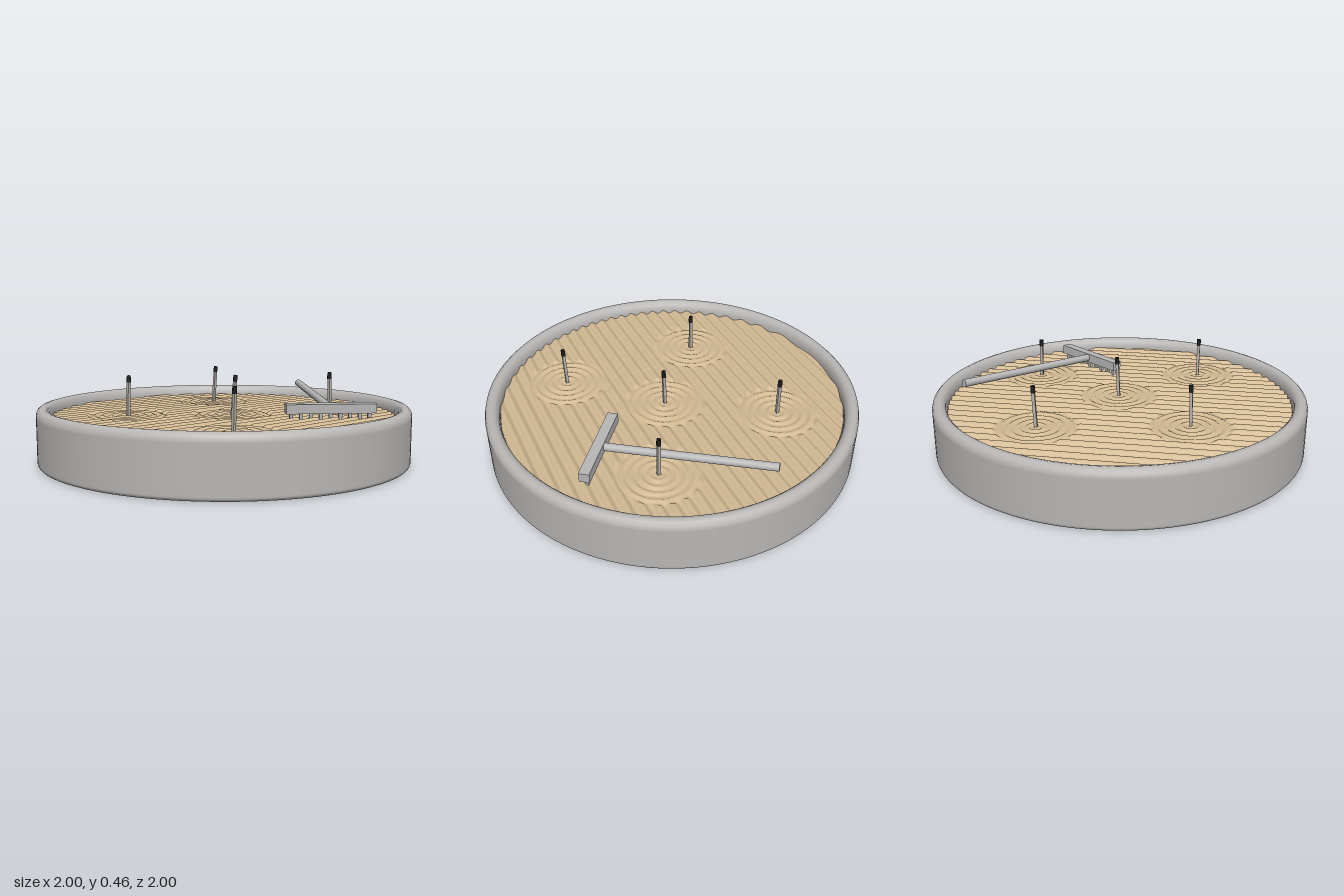
import * as THREE from 'three';

const material = (name, color) => {
  const m = new THREE.MeshStandardMaterial({ color });
  m.name = name;
  return m;
};

const SAND_LEVEL = 0.24;
const SAND_RADIUS = 0.928;
const RING_RADIUS = 0.215;

// Ring centres [x, z] and the lean of each stick [about x, about z]
const spots = [
  { x: -0.415, z: -0.313, lean: [0.02, -0.02] },
  { x: 0.345, z: -0.458, lean: [0.03, -0.05] },
  { x: 0.016, z: 0.05, lean: [0.05, -0.05] },
  { x: -0.383, z: 0.47, lean: [0.04, 0.01] },
  { x: 0.525, z: 0.313, lean: [-0.02, 0.02] },
];

// Raked height: straight ridges along x, ripples around every stick
function sandHeight(x, z) {
  let h = 0.009 * Math.cos((z * 2 * Math.PI) / 0.067);
  for (const s of spots) {
    const d = Math.hypot(x - s.x, z - s.z);
    const blend = 1 - THREE.MathUtils.smoothstep(d, RING_RADIUS - 0.015, RING_RADIUS + 0.005);
    h = THREE.MathUtils.lerp(h, 0.005 * Math.cos((d * 2 * Math.PI) / 0.045), blend);
  }
  return SAND_LEVEL + h;
}

export function createModel() {
  const model = new THREE.Group();
  model.name = 'sandGarden';

  const stone = material('stone grey', 0xb9b7b5);
  const sandMat = material('sand', 0xd2b993);
  const rakeMat = material('rake grey', 0xb8b8b8);
  const stickMat = material('stick grey', 0xb5b0aa);
  const tipMat = material('tip black', 0x1c1c1c);

  const add = (parent, name, geometry, mat, x = 0, y = 0, z = 0) => {
    const mesh = new THREE.Mesh(geometry, mat);
    mesh.name = name;
    mesh.position.set(x, y, z);
    parent.add(mesh);
    return mesh;
  };

  // Round tray with softened edges
  const profile = [new THREE.Vector2(0, 0), new THREE.Vector2(0.97, 0)];
  const arc = (cx, cy, r, from, to) => {
    for (let i = 0; i <= 6; i++) {
      const a = THREE.MathUtils.degToRad(from + ((to - from) * i) / 6);
      profile.push(new THREE.Vector2(cx + r * Math.cos(a), cy + r * Math.sin(a)));
    }
  };
  arc(0.98, 0.02, 0.02, -90, 0);
  profile.push(new THREE.Vector2(1, 0.03), new THREE.Vector2(1, 0.255));
  arc(0.963, 0.264, 0.037, 0, 180);
  profile.push(new THREE.Vector2(0.922, 0.25), new THREE.Vector2(0.92, 0.2));
  add(model, 'tray', new THREE.LatheGeometry(profile, 128), stone);

  // Sand: a grid squeezed into a disc row by row, then lifted by the raked pattern
  const sand = new THREE.PlaneGeometry(2, 2, 150, 270).rotateX(-Math.PI / 2);
  const p = sand.attributes.position;
  for (let i = 0; i < p.count; i++) {
    const z = p.getZ(i) * SAND_RADIUS;
    const x = p.getX(i) * Math.sqrt(Math.max(0, SAND_RADIUS ** 2 - z * z));
    p.setXYZ(i, x, sandHeight(x, z), z);
  }
  sand.computeVertexNormals();
  add(model, 'sand', sand, sandMat);

  // Upright sticks with dark tips
  for (const s of spots) {
    const stick = new THREE.Group();
    stick.name = 'stick';
    stick.position.set(s.x, 0.23, s.z);
    stick.rotation.set(s.lean[0], 0, s.lean[1]);
    add(stick, 'stickShaft', new THREE.BoxGeometry(0.016, 0.2, 0.016), stickMat, 0, 0.1, 0);
    add(stick, 'stickTip', new THREE.CylinderGeometry(0.011, 0.012, 0.036, 10), tipMat, 0, 0.208, 0);
    model.add(stick);
  }

  // Rake resting on the sand, handle raised a little
  const rake = new THREE.Group();
  rake.name = 'rake';
  rake.position.set(0.273, 0.297, 0.521);
  rake.rotation.set(0.05, -0.663, 0, 'YXZ');
  add(rake, 'rakeHead', new THREE.BoxGeometry(0.477, 0.05, 0.055), rakeMat);
  const handle = new THREE.CylinderGeometry(0.021, 0.021, 0.89, 20).rotateX(Math.PI / 2);
  add(rake, 'rakeHandle', handle, rakeMat, 0, 0, -0.445);
  for (let i = -4; i <= 4; i++) {
    add(rake, 'rakeTooth', new THREE.BoxGeometry(0.018, 0.045, 0.018), rakeMat, i * 0.052, -0.045, 0);
  }
  model.add(rake);

  return model;
}
